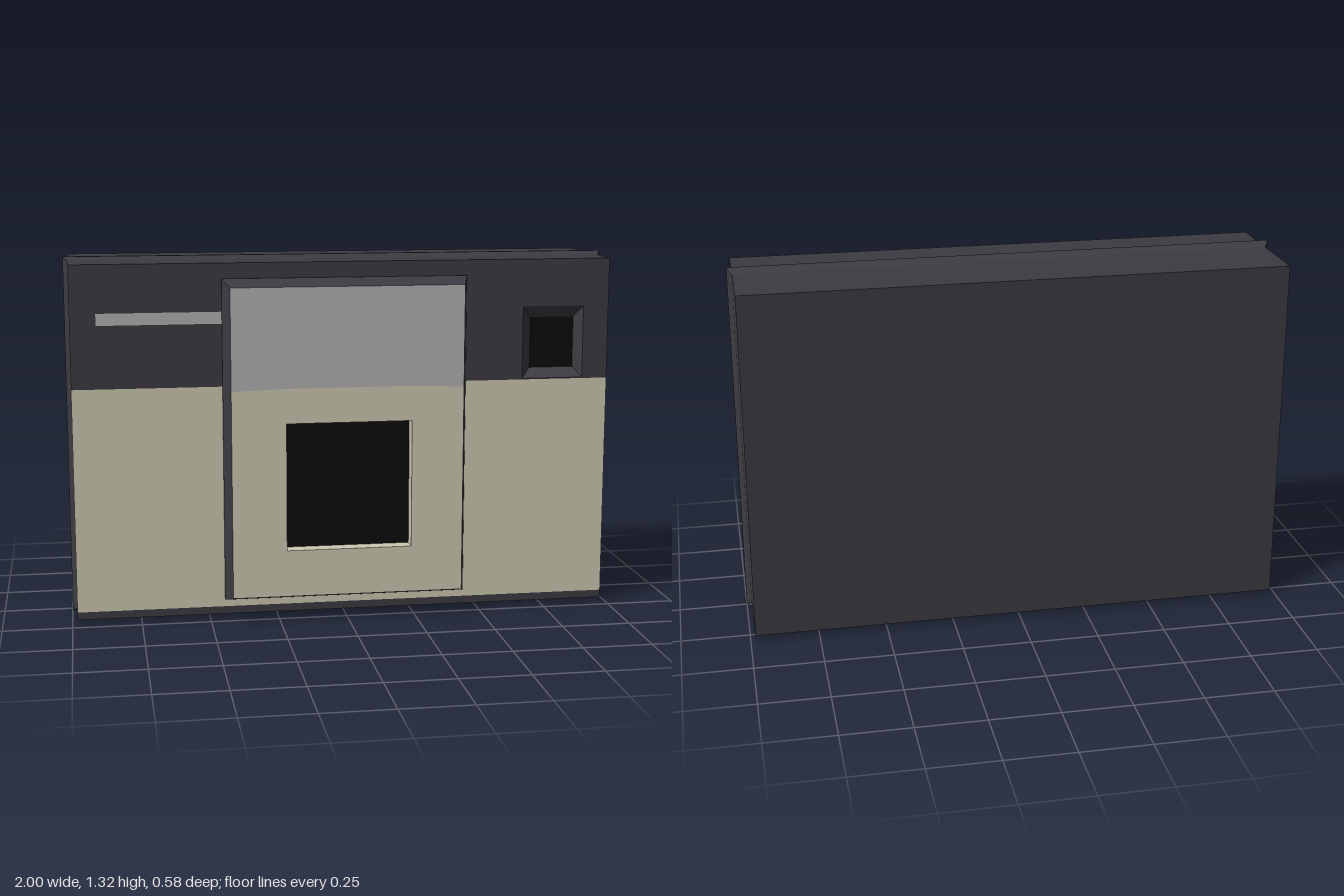
import * as THREE from 'three';

const material = (color) => new THREE.MeshStandardMaterial({ color, flatShading: true });

// Rectangle corners, counter-clockwise from the front
const corners = ([x0, x1, y0, y1]) => [[x0, y0], [x1, y0], [x1, y1], [x0, y1]];

// Walls through rectangular rings [z, x0, x1, y0, y1];
// rising z faces outward, falling z faces inward
function loft(rings) {
  const pos = [];
  const pts = rings.map(([z, ...r]) => corners(r).map(([x, y]) => [x, y, z]));
  for (let i = 0; i < pts.length - 1; i++) {
    for (let j = 0; j < 4; j++) {
      const k = (j + 1) % 4;
      const a = pts[i][j], b = pts[i][k], c = pts[i + 1][k], d = pts[i + 1][j];
      pos.push(...a, ...b, ...c, ...a, ...c, ...d);
    }
  }
  const geometry = new THREE.BufferGeometry();
  geometry.setAttribute('position', new THREE.Float32BufferAttribute(pos, 3));
  geometry.computeVertexNormals();
  return geometry;
}

// Flat face towards +z at depth z, with an optional rectangular hole
function face(points, z, hole) {
  const toVec = ([x, y]) => new THREE.Vector2(x, y);
  const shape = new THREE.Shape(points.map(toVec));
  if (hole) shape.holes.push(new THREE.Path(corners(hole).map(toVec)));
  return new THREE.ShapeGeometry(shape).translate(0, 0, z);
}

export function createModel() {
  const group = new THREE.Group();
  const dark = material(0x3c3b41);
  const cream = material(0xcdc9b3);
  const silver = material(0xb3b3b3);
  const black = material(0x0c0c0c);
  const add = (name, geometry, mat) => {
    const mesh = new THREE.Mesh(geometry, mat);
    mesh.name = name;
    group.add(mesh);
    return mesh;
  };

  const back = -0.29, front = 0.205;
  const bx = 0.982, by0 = 0.015, by1 = 1.303, split = 0.86;

  // Case with a raised seam running all the way round
  const plain = [-bx, bx, by0, by1];
  add('caseWalls', loft([
    [back, ...plain], [-0.02, ...plain], [0.005, -1, 1, 0, 1.317],
    [0.025, -1, 1, 0, 1.317], [0.05, ...plain], [front, ...plain],
  ]), dark);
  add('caseBack', face(corners(plain), 0).rotateY(Math.PI).translate(0, 0, back), dark);

  // Front of the case: dark sill, cream lower part, dark upper band
  const finder = [0.66, 0.888, 0.864, 1.13];
  add('frontSill', face(corners([-bx, bx, by0, 0.043]), front), dark);
  add('frontLower', face(corners([-bx, bx, 0.043, split]), front), cream);
  add('frontUpper', face(corners([-bx, bx, split, by1]), front, finder), dark);
  add('trimStrip', face(corners([-0.89, -0.44, 1.087, 1.13]), front + 0.002), silver);

  // Recessed viewfinder
  const glass = [0.695, 0.858, 0.9, 1.087];
  add('viewfinderRecess', loft([[front, ...finder], [front - 0.03, ...glass]]), dark);
  add('viewfinderGlass', face(corners(glass), front - 0.03), black);

  // Raised centre panel with bevelled sides
  const pz = 0.29, px = 0.422, py0 = 0.095, py1 = 1.222;
  add('panelSides', loft([
    [front, -0.445, 0.445, 0.07, 1.247],
    [front + 0.008, -0.445, 0.445, 0.07, 1.247],
    [pz, -px, px, py0, py1],
  ]), dark);

  // Panel front, its two colours meeting along a slightly bowed line
  const seam = [[px, 0.853], [0.22, split], [-0.22, split], [-px, 0.853]];
  const opening = [-0.225, 0.232, 0.266, 0.733];
  add('panelLower', face([[-px, py0], [px, py0], ...seam], pz, opening), cream);
  add('panelUpper', face([...[...seam].reverse(), [px, py1], [-px, py1]], pz), silver);

  // Square opening in the panel
  add('openingWalls', loft([[pz, ...opening], [pz - 0.055, ...opening]]), cream);
  add('openingGlass', face(corners(opening), pz - 0.055), black);

  return group;
}
